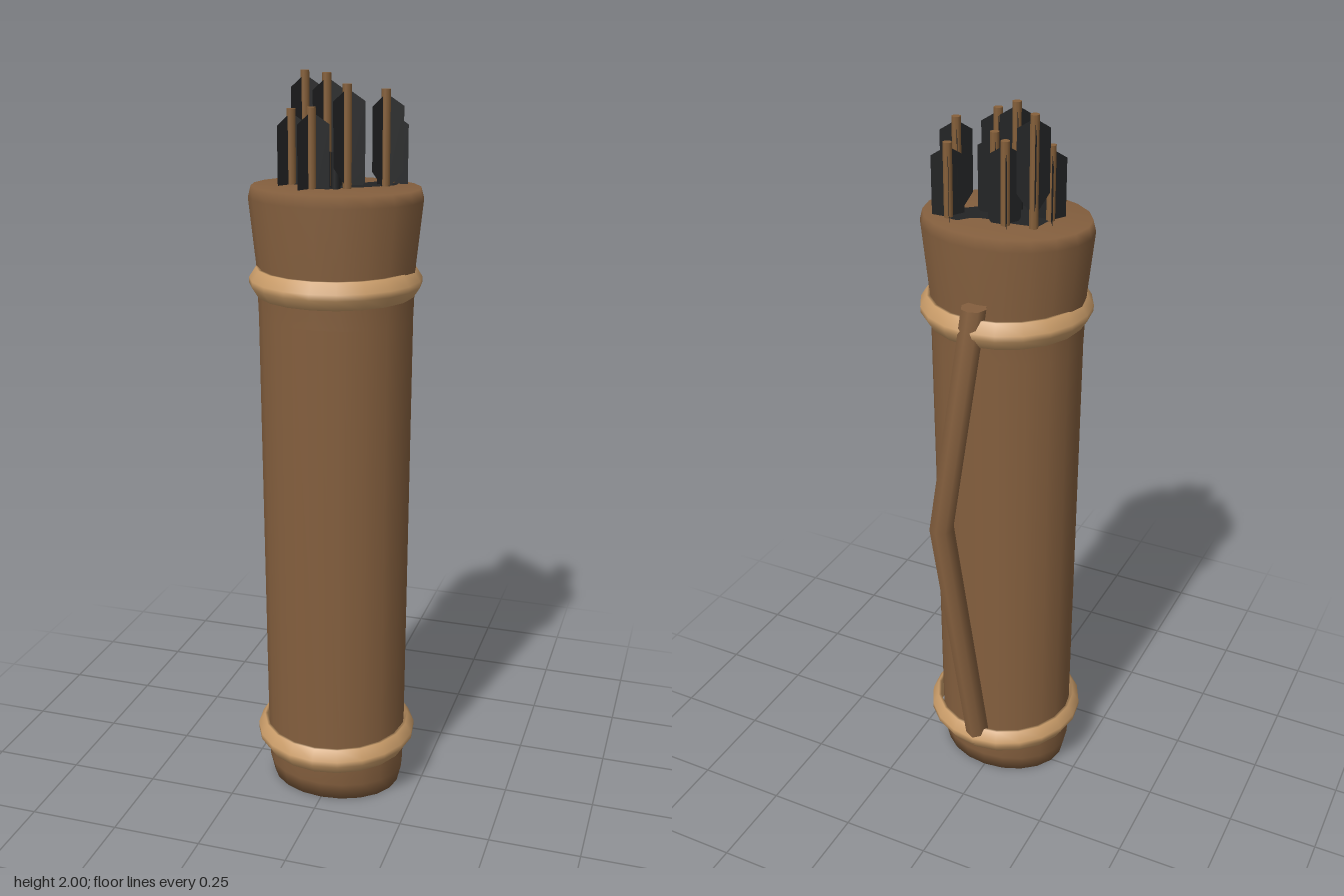
import * as THREE from 'three';

const paint = (name, color, extra = {}) => {
  const m = new THREE.MeshStandardMaterial({ color, ...extra });
  m.name = name;
  return m;
};

export function createModel() {
  const leather = paint('brown leather', 0x845f3e);
  const tan = paint('tan binding', 0xc89b68);
  const wood = paint('arrow wood', 0x86603a);
  const black = paint('black feather', 0x222324, { side: THREE.DoubleSide });
  const model = new THREE.Group();
  const CZ = 0.042; // axis of the quiver body
  const TOP = 1.72;

  const add = (parent, name, geometry, material, x = 0, y = 0, z = 0) => {
    const mesh = new THREE.Mesh(geometry, material);
    mesh.name = name;
    mesh.position.set(x, y, z);
    parent.add(mesh);
    return mesh;
  };
  const lathe = (points, segments = 20) =>
    new THREE.LatheGeometry(points.map(([r, y]) => new THREE.Vector2(r, y)), segments);

  // Oval quiver body, flared at the mouth
  const body = lathe([
    [0, 0], [0.185, 0], [0.197, 0.05], [0.2, 0.13], [0.207, 1.38],
    [0.212, 1.52], [0.23, 1.69], [0.222, TOP], [0, TOP],
  ]);
  body.scale(1, 1, 0.8);
  add(model, 'quiverBody', body, leather, 0, 0, CZ);

  // Two round binding rings, standing off the oval body at front and back
  const ringProfile = [
    [0.2, -0.036], [0.208, -0.036], [0.226, -0.008], [0.226, 0.008],
    [0.208, 0.036], [0.2, 0.036], [0.2, -0.036],
  ];
  for (const [name, y] of [['lowerRing', 0.157], ['upperRing', 1.478]]) {
    add(model, name, lathe(ringProfile), tan, 0, y, CZ);
  }

  // Strap on the back: a rod with one kink in the middle
  const strap = new THREE.CylinderGeometry(0.034, 0.034, 1.4, 8, 2);
  const p = strap.attributes.position;
  for (let i = 0; i < p.count; i++) {
    const middle = Math.abs(p.getY(i)) < 0.01;
    const y = middle ? 0.925 : p.getY(i) + 0.84;
    p.setXYZ(i, p.getX(i) + (middle ? 0.06 : 0), y, p.getZ(i) - (middle ? 0.232 : 0.146));
  }
  strap.computeVertexNormals();
  add(model, 'backStrap', strap, leather);

  // Dark opening in the mouth, drawn in x and -z
  const opening = new THREE.Shape();
  opening.moveTo(-0.11, 0.015);
  opening.splineThru([
    [-0.03, 0.022], [0.03, 0.018], [0.065, 0.03], [0.09, 0.057], [0.12, 0.05],
    [0.145, 0.028], [0.143, -0.005], [0.11, -0.032], [0.075, -0.062], [0.03, -0.088],
    [0.01, -0.112], [-0.02, -0.117], [-0.05, -0.1], [-0.07, -0.075],
    [-0.115, -0.055], [-0.115, -0.02], [-0.11, 0.015],
  ].map(([x, y]) => new THREE.Vector2(x, y)));
  const openingGeometry = new THREE.ShapeGeometry(opening, 3);
  openingGeometry.rotateX(-Math.PI / 2);
  add(model, 'mouthOpening', openingGeometry, black, 0, TOP + 0.002, 0);

  // One feather vane, hanging from just below the arrow's end
  const vane = new THREE.Shape();
  vane.moveTo(0, -0.01);
  vane.lineTo(0.047, -0.04);
  vane.lineTo(0.047, -0.2);
  vane.lineTo(0, -0.255);
  const vaneGeometry = new THREE.ShapeGeometry(vane);

  // Arrows: x, z and height of the end
  const arrows = [
    [-0.102, -0.021, 2.0], [-0.03, -0.031, 1.93], [0.121, -0.042, 1.91],
    [0.122, 0.009, 1.96], [0.026, 0.026, 1.93], [-0.017, 0.061, 2.0],
    [-0.117, 0.047, 1.91], [0.041, 0.077, 1.975], [-0.043, 0.107, 1.92],
  ];
  for (const [x, z, tip] of arrows) {
    const arrow = new THREE.Group();
    arrow.name = 'arrow';
    arrow.position.set(x, tip, z);
    const length = tip - TOP + 0.02;
    add(arrow, 'shaft', new THREE.CylinderGeometry(0.012, 0.012, length, 8), wood, 0, -length / 2, 0);
    for (let i = 0; i < 3; i++) {
      add(arrow, 'vane', vaneGeometry, black).rotation.y = (i * Math.PI * 2) / 3;
    }
    model.add(arrow);
  }

  // Short dark stubs between the arrows
  for (const [x, z] of [[-0.013, 0.083], [0.015, 0.09]]) {
    add(model, 'darkStub', new THREE.CylinderGeometry(0.012, 0.012, 0.1, 8), black, x, TOP + 0.04, z);
  }
  return model;
}
